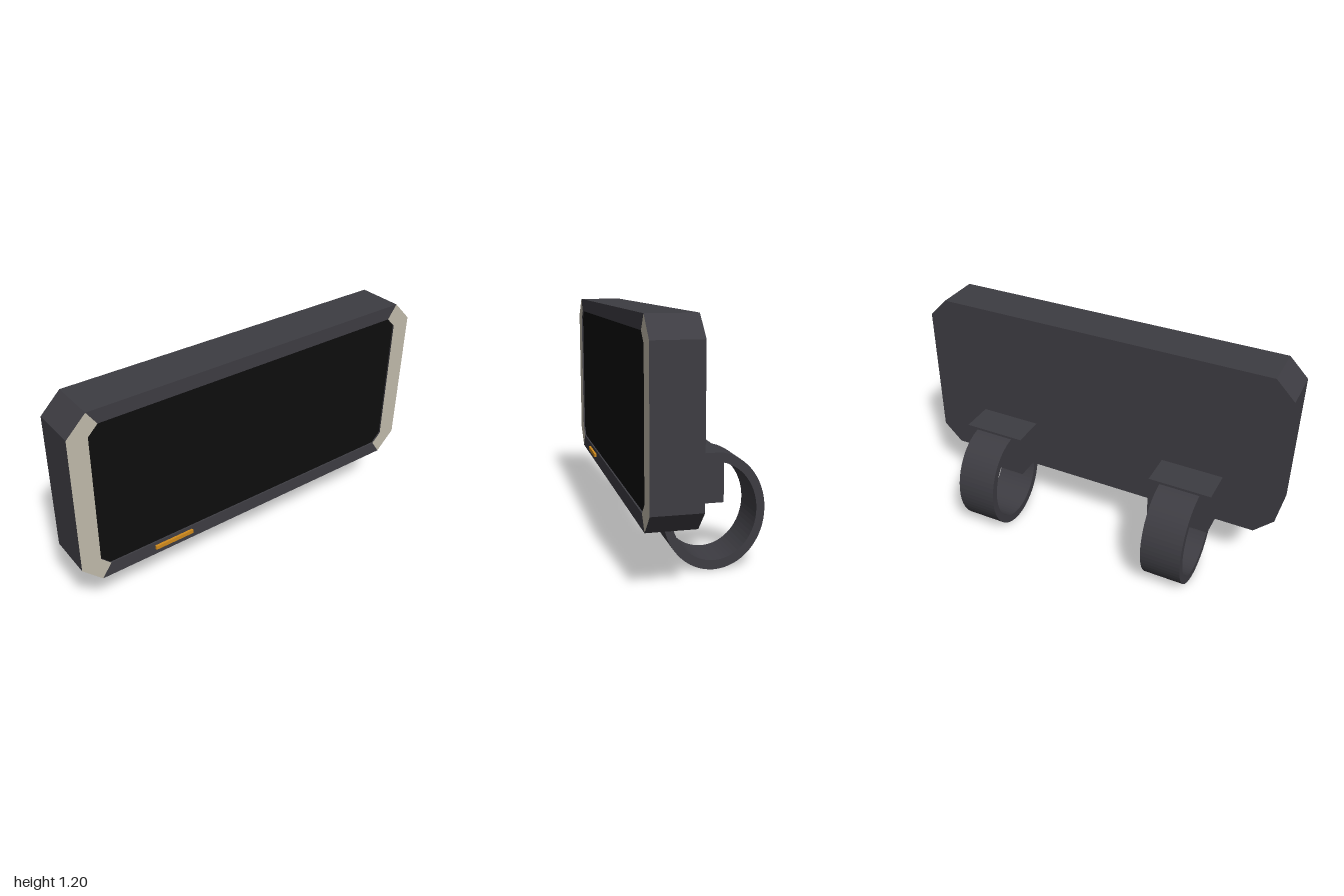
import * as THREE from 'three';

const mat = (name, color) => {
  const m = new THREE.MeshStandardMaterial({ color });
  m.name = name;
  return m;
};

// closed shape from [x, y] corners
const poly = (pts) => new THREE.Shape(pts.map(([x, y]) => new THREE.Vector2(x, y)));

const extrude = (shape, z0, z1, curveSegments = 12) =>
  new THREE.ExtrudeGeometry(shape, { depth: z1 - z0, bevelEnabled: false, curveSegments }).translate(0, 0, z0);

// rectangle with cut corners
const cutRect = (w, y0, y1, c) => poly([
  [-w + c, y0], [w - c, y0], [w, y0 + c], [w, y1 - c],
  [w - c, y1], [-w + c, y1], [-w, y1 - c], [-w, y0 + c],
]);

export function createModel() {
  const group = new THREE.Group();
  const dark = mat('charcoal', 0x3d3c42);
  const beige = mat('beige', 0xc0baaa);
  const black = mat('screenBlack', 0x0d0d0d);
  const orange = mat('orange', 0xd08a1c);

  const add = (name, geometry, material) => {
    const mesh = new THREE.Mesh(geometry, material);
    mesh.name = name;
    group.add(mesh);
    return mesh;
  };

  const y0 = 0.29, y1 = 1.206, s0 = 0.362, s1 = 1.135;
  const back = 0.076, face = 0.3, front = 0.31;

  // housing and slightly recessed screen
  add('housing', extrude(cutRect(1, y0, y1, 0.1), back, face), dark);
  add('screen', extrude(cutRect(0.902, s0, s1, 0.05), face - 0.002, face + 0.002), black);

  // top and bottom bezel bars
  for (const [name, o, i] of [['topBezel', y1, s1], ['bottomBezel', y0, s0]]) {
    add(name, extrude(poly([[-0.9, o], [0.9, o], [0.85, i], [-0.85, i]]), face, front), dark);
  }

  // side bezels: beige faces, dark edges
  for (const [name, s] of [['leftBezel', 1], ['rightBezel', -1]]) {
    const shape = poly([
      [0.9, y1], [0.85, s1], [0.9, s1 - 0.05], [0.9, s0 + 0.05],
      [0.85, s0], [0.9, y0], [1, y0 + 0.1], [1, y1 - 0.1],
    ].map(([x, y]) => [s * x, y]));
    add(name, extrude(shape, face, front), [beige, dark]);
  }

  // indicator light on the bottom bezel
  add('indicatorLight', new THREE.BoxGeometry(0.214, 0.02, 0.012).translate(-0.503, 0.334, 0.316), orange);

  // oval strap ring, drawn in the z-y plane and extruded along x
  const ring = new THREE.Shape().absellipse(0, 0, 0.245, 0.28, 0, Math.PI * 2);
  ring.holes.push(new THREE.Path().absellipse(0, 0, 0.205, 0.235, 0, Math.PI * 2, true));
  const ringGeometry = extrude(ring, -0.107, 0.107, 32).rotateY(Math.PI / 2);
  const blockGeometry = new THREE.BoxGeometry(0.332, 0.232, 0.18);

  for (const [side, x] of [['left', 0.538], ['right', -0.543]]) {
    add(side + 'MountBlock', blockGeometry, dark).position.set(x, 0.457, -0.01);
    add(side + 'StrapRing', ringGeometry, dark).position.set(x, 0.281, -0.075);
  }
  return group;
}
